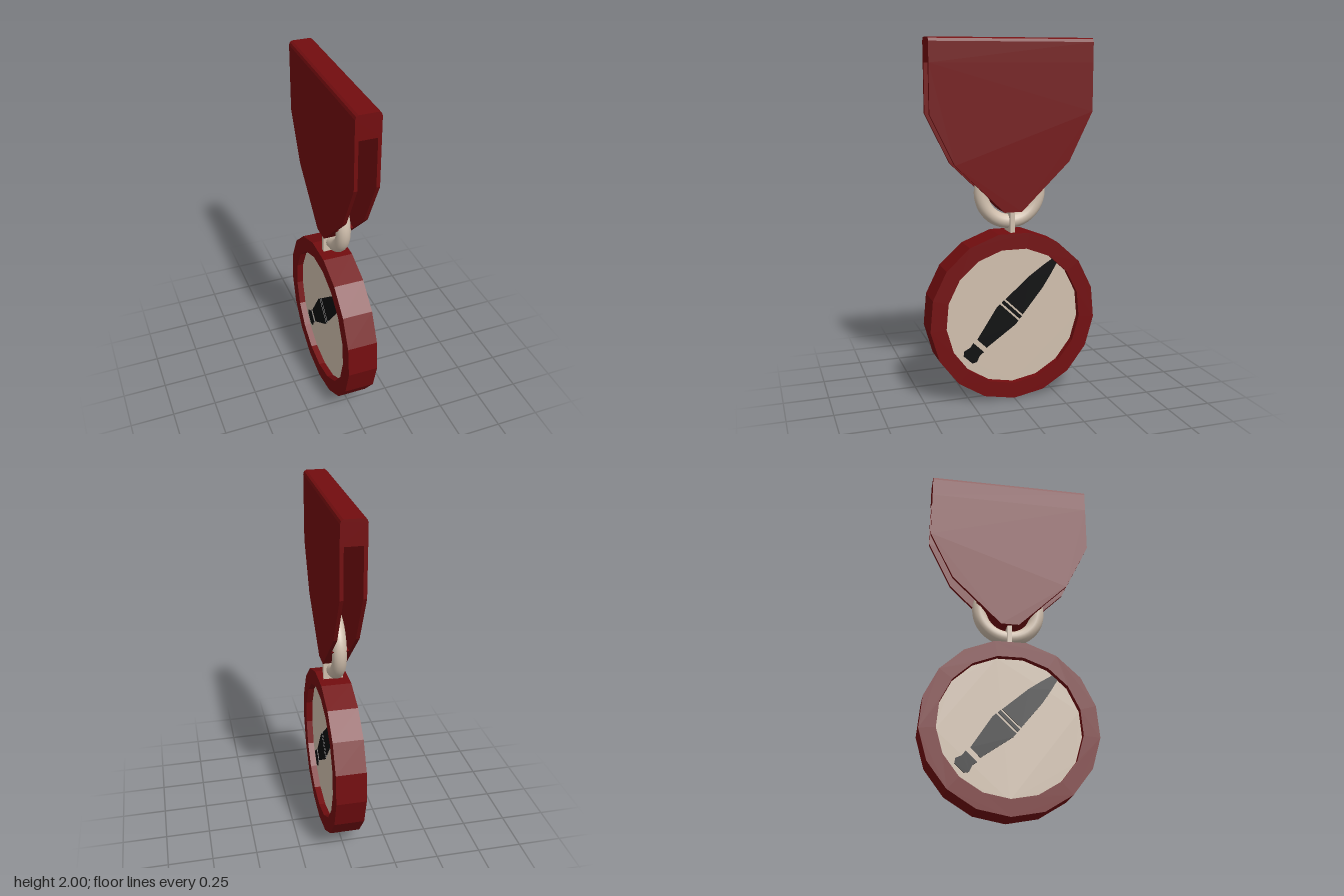
import * as THREE from 'three';

const SIDES = 17, CENTRE_Y = 0.48;

export function createModel() {
  const model = new THREE.Group();
  model.name = 'medal';
  const red = new THREE.MeshStandardMaterial({ name: 'darkRed', color: 0x720d0f });
  const cream = new THREE.MeshStandardMaterial({ name: 'cream', color: 0xd0bfad });
  const black = new THREE.MeshStandardMaterial({ name: 'black', color: 0x0d0e0f });

  const add = (name, geometry, material, parent = model) => {
    const mesh = new THREE.Mesh(geometry, material);
    mesh.name = name;
    parent.add(mesh);
    return mesh;
  };
  const points = (list) => list.map(([a, b]) => new THREE.Vector2(a, b));
  // Symmetric outline from its right half, listed top to bottom
  const mirrored = (half) =>
    new THREE.Shape(points([...half, ...half.slice().reverse().map(([a, b]) => [-a, b])]));
  // Regular polygon with one corner pointing down
  const polygon = (radius) => points(Array.from({ length: SIDES }, (_, i) => {
    const a = (i / SIDES) * Math.PI * 2;
    return [Math.sin(a) * radius, CENTRE_Y - Math.cos(a) * radius];
  }));
  // Slab lying in the YZ plane, from x0 to x1
  const slab = (shape, x0, x1) =>
    new THREE.ExtrudeGeometry(shape, { depth: x1 - x0, bevelEnabled: false })
      .rotateY(Math.PI / 2).translate(x0, 0, 0);

  // Medal rim and recessed face
  const rim = new THREE.Shape(polygon(0.48));
  rim.holes.push(new THREE.Path(polygon(0.39)));
  add('medalRim', slab(rim, -0.084, 0.084), red);
  add('medalFace', slab(new THREE.Shape(polygon(0.392)), -0.048, 0.048), cream);

  // Emblem pieces as [half width, distance along the axis]
  const pieces = {
    blade: [[0.017, 0.375], [0.035, 0.3], [0.053, 0.21], [0.07, 0.022]],
    band: [[0.073, 0.012], [0.073, -0.008]],
    grip: [[0.075, -0.019], [0.077, -0.045], [0.037, -0.25]],
    pommel: [[0.042, -0.278], [0.037, -0.31], [0.05, -0.345], [0.034, -0.368]],
  };
  for (const [side, turn] of [['left', 0], ['right', Math.PI]]) {
    const emblem = new THREE.Group();
    emblem.name = side + 'Emblem';
    emblem.rotation.y = turn;
    for (const [name, half] of Object.entries(pieces)) {
      const geometry = new THREE.ExtrudeGeometry(mirrored(half), { depth: 0.006, bevelEnabled: false })
        .rotateZ(-THREE.MathUtils.degToRad(44))
        .translate(-0.005, 0.51, 0.046)
        .rotateY(Math.PI / 2);
      add(name, geometry, black, emblem);
    }
    model.add(emblem);
  }

  // Tab and hanging ring
  add('tab', new THREE.BoxGeometry(0.11, 0.135, 0.026).translate(0, 0.9975, 0), cream);
  add('ring', new THREE.TorusGeometry(0.164, 0.04, 16, 48).rotateY(Math.PI / 2).translate(0, 1.173, 0), cream);

  // Ribbon: two hanging panels, joined by a fold at the top and a seam below
  const panel = mirrored([[0.458, 1.87], [0.458, 1.605], [0.325, 1.335], [0.05, 1.068]]);
  add('leftRibbonPanel', slab(panel, 0.048, 0.067), red);
  add('rightRibbonPanel', slab(panel, -0.067, -0.048), red);
  const seam = mirrored([[0.186, 1.2], [0.05, 1.068]]);
  add('ribbonSeam', slab(seam, -0.048, 0.048), red);
  const fold = mirrored([[0.05, 2], [0.062, 1.993], [0.067, 1.978], [0.067, 1.87]]);
  add('ribbonFold',
    new THREE.ExtrudeGeometry(fold, { depth: 0.916, bevelEnabled: false }).translate(0, 0, -0.458), red);

  return model;
}
